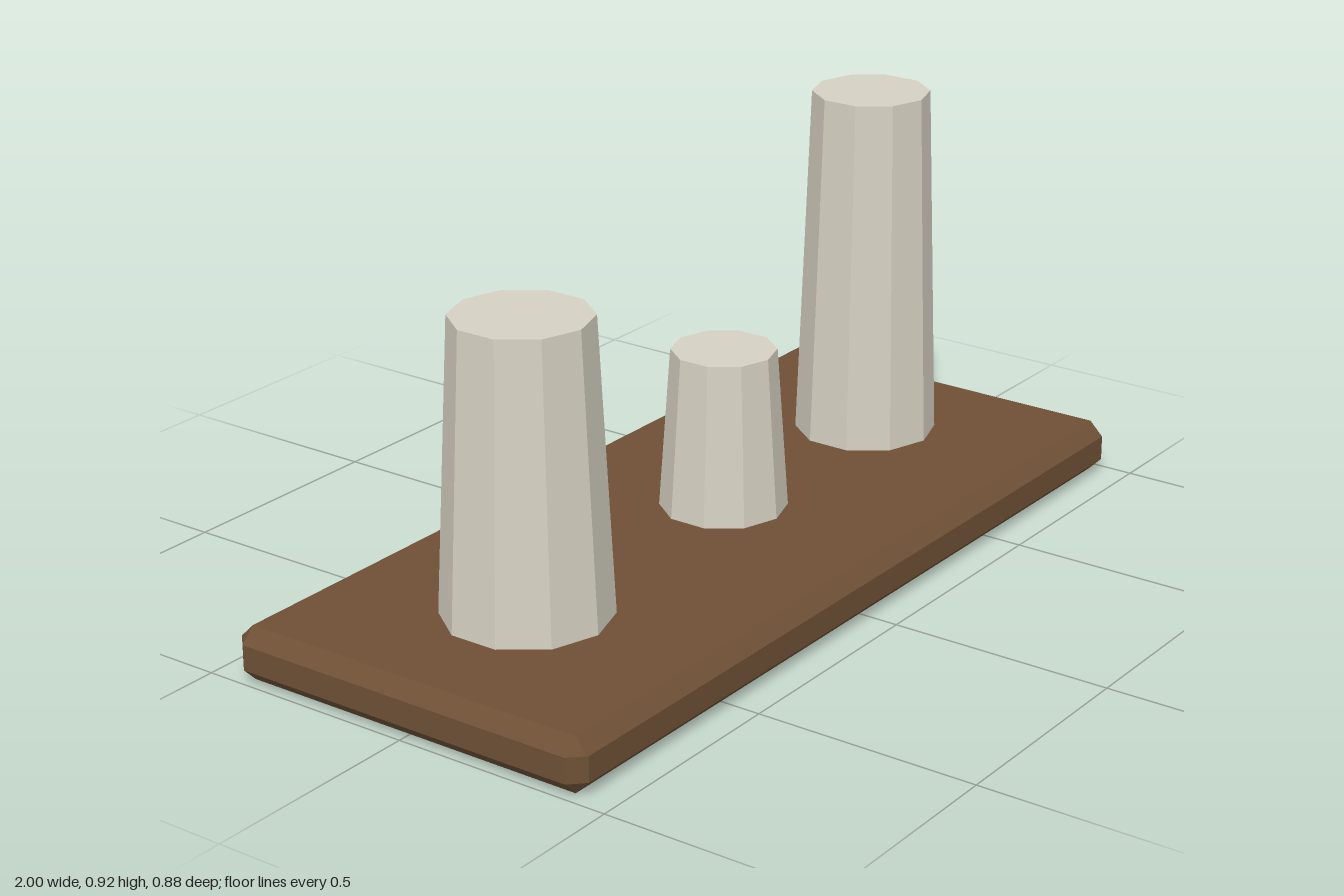
import * as THREE from 'three';
import { ConvexGeometry } from 'three/addons/geometries/ConvexGeometry.js';

// Box with every edge and corner cut at 45 degrees, centred on the origin
function chamferedBox(w, h, d, c) {
  const points = [];
  for (const sx of [-1, 1]) for (const sy of [-1, 1]) for (const sz of [-1, 1]) {
    for (let axis = 0; axis < 3; axis++) {
      const half = [w / 2, h / 2, d / 2].map((v, i) => (i === axis ? v : v - c));
      points.push(new THREE.Vector3(sx * half[0], sy * half[1], sz * half[2]));
    }
  }
  return new ConvexGeometry(points);
}

export function createModel() {
  const group = new THREE.Group();
  const wood = new THREE.MeshStandardMaterial({ color: 0x6e5035, flatShading: true });
  wood.name = 'brown wood';
  const stone = new THREE.MeshStandardMaterial({ color: 0xd5d0c2, flatShading: true });
  stone.name = 'pale stone';

  // Base board
  const thickness = 0.12;
  const base = new THREE.Mesh(chamferedBox(2, thickness, 0.88, 0.032), wood);
  base.name = 'base';
  base.position.y = thickness / 2;
  group.add(base);

  // Tapered ten-sided posts standing on the board
  const posts = [
    { name: 'widePost', x: -0.6, radius: 0.18, height: 0.64 },
    { name: 'shortPost', x: 0.08, radius: 0.14, height: 0.36 },
    { name: 'tallPost', x: 0.64, radius: 0.16, height: 0.8 },
  ];
  for (const { name, x, radius, height } of posts) {
    const post = new THREE.Mesh(new THREE.CylinderGeometry(radius * 0.82, radius, height, 10), stone);
    post.name = name;
    post.position.set(x, thickness + height / 2, 0);
    group.add(post);
  }
  return group;
}
